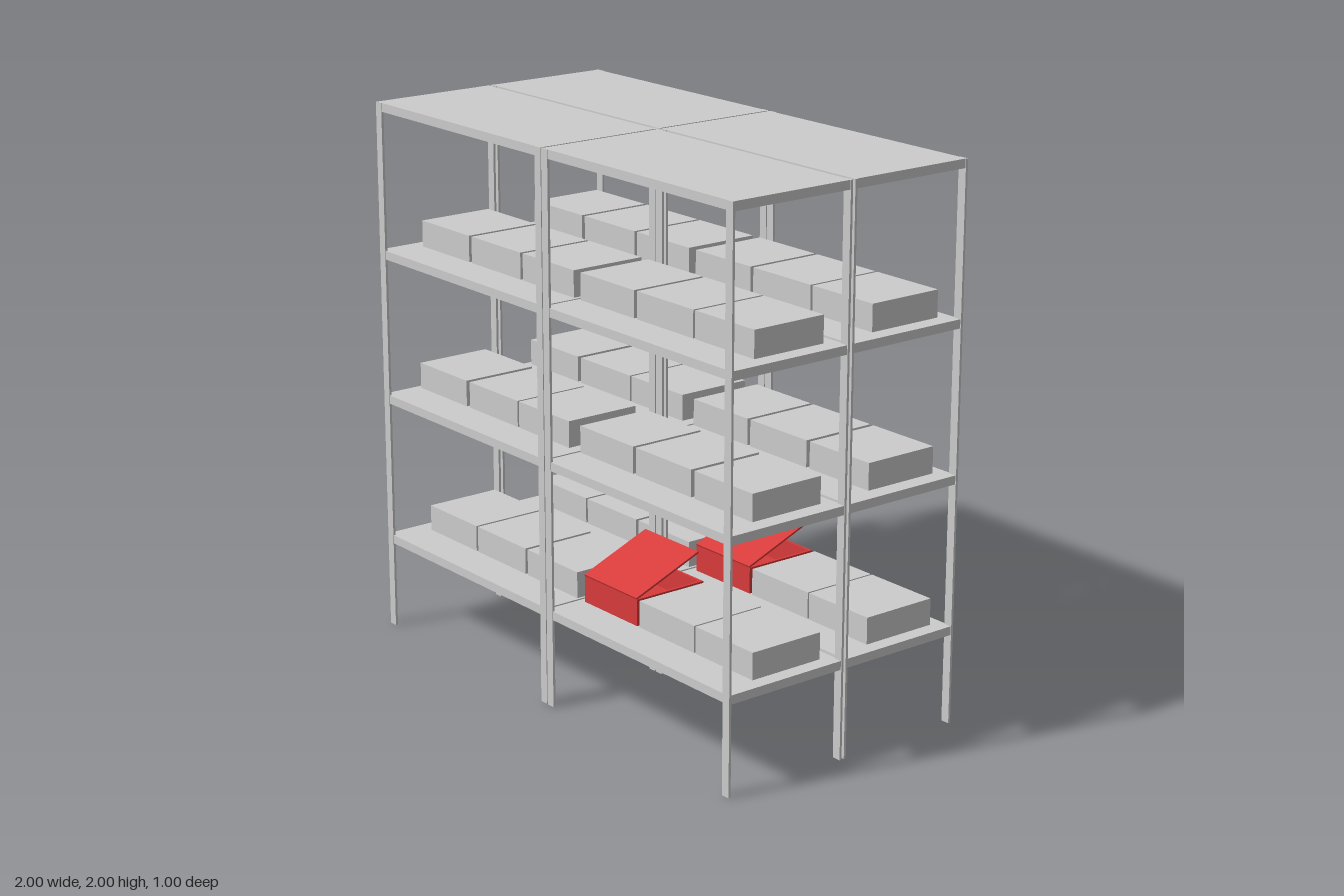
import * as THREE from 'three';

const grey = new THREE.MeshStandardMaterial({ color: 0xcccccc });
const red = new THREE.MeshStandardMaterial({ color: 0xd83a3a });

// Box given by its min and max corners
function slab(parent, name, x0, x1, y0, y1, z0, z1, mat = grey) {
  const mesh = new THREE.Mesh(new THREE.BoxGeometry(x1 - x0, y1 - y0, z1 - z0), mat);
  mesh.position.set((x0 + x1) / 2, (y0 + y1) / 2, (z0 + z1) / 2);
  mesh.name = name;
  parent.add(mesh);
  return mesh;
}

const BAY = { w: 0.995, z0: 0.007, z1: 0.5 };
const POST_W = 0.034, POST_T = 0.009;
const SHELF_TOPS = [0.36, 0.907, 1.455, 2];
const SHELF_H = 0.032, RIM = 0.008;
const BOX = { w: 0.297, h: 0.097, z0: 0.06, z1: 0.353, t: 0.01 };

// Thin deck with a folded rim hanging below it
function addShelf(parent, top) {
  const shelf = new THREE.Group();
  shelf.name = 'shelf';
  const y0 = top - SHELF_H, a = 0.002, b = BAY.w, c = BAY.z0 + 0.002, d = BAY.z1 - 0.002;
  slab(shelf, 'shelfDeck', a, b, top - 0.006, top, c, d);
  slab(shelf, 'shelfFrontRim', a, b, y0, top - 0.006, d - RIM, d);
  slab(shelf, 'shelfBackRim', a, b, y0, top - 0.006, c, c + RIM);
  slab(shelf, 'shelfSideRim', a, a + RIM, y0, top - 0.006, c + RIM, d - RIM);
  slab(shelf, 'shelfSideRim', b - RIM, b, y0, top - 0.006, c + RIM, d - RIM);
  parent.add(shelf);
}

// One free-standing bay: four flat posts and four shelves
function makeBay() {
  const bay = new THREE.Group();
  bay.name = 'shelvingBay';
  for (const x of [0, BAY.w + 0.003 - POST_W])
    for (const z of [BAY.z0 - 0.002, BAY.z1 - POST_T])
      slab(bay, 'post', x, x + POST_W, 0, 2, z, z + POST_T);
  SHELF_TOPS.forEach((top) => addShelf(bay, top));
  return bay;
}

// Open tray with a lid hinged along its front edge
function addOpenBox(parent, x, y) {
  const { w, h, z0, z1, t } = BOX;
  const box = new THREE.Group();
  box.name = 'openBox';
  slab(box, 'boxBase', x, x + w, y, y + t, z0, z1, red);
  slab(box, 'boxFront', x, x + w, y + t, y + h, z1 - t, z1, red);
  slab(box, 'boxBack', x, x + w, y + t, y + h, z0, z0 + t, red);
  for (const sx of [x, x + w - t])
    slab(box, 'boxSide', sx, sx + t, y + t, y + h, z0 + t, z1 - t, red);
  const hinge = new THREE.Group();
  hinge.name = 'boxLid';
  hinge.position.set(x, y + h, z1);
  hinge.rotation.x = 0.38;
  slab(hinge, 'lidPanel', 0, w, 0, 0.007, z0 - z1, 0, red);
  box.add(hinge);
  parent.add(box);
}

// Left edge of each box, by shelf from the bottom up
const BOX_X = [
  [-0.93, -0.623, -0.312, 0.03, 0.341, 0.645],
  [-0.975, -0.658, -0.352, 0.01, 0.322, 0.636],
  [-0.941, -0.628, -0.317, 0.018, 0.33, 0.637],
];

export function createModel() {
  const model = new THREE.Group();
  model.name = 'storageRack';

  // Front and rear rows are copies, each two bays wide
  for (const dz of [0, -0.505]) {
    const row = new THREE.Group();
    row.name = dz === 0 ? 'frontRow' : 'rearRow';
    row.position.z = dz;
    for (const x of [-1, 0.002]) {
      const bay = makeBay();
      bay.position.x = x;
      row.add(bay);
    }
    BOX_X.forEach((xs, level) => {
      const y = SHELF_TOPS[level];
      xs.forEach((x, i) => {
        if (level === 0 && i === 3) addOpenBox(row, x, y);
        else slab(row, 'storageBox', x, x + BOX.w, y, y + BOX.h, BOX.z0, BOX.z1);
      });
    });
    model.add(row);
  }
  return model;
}
